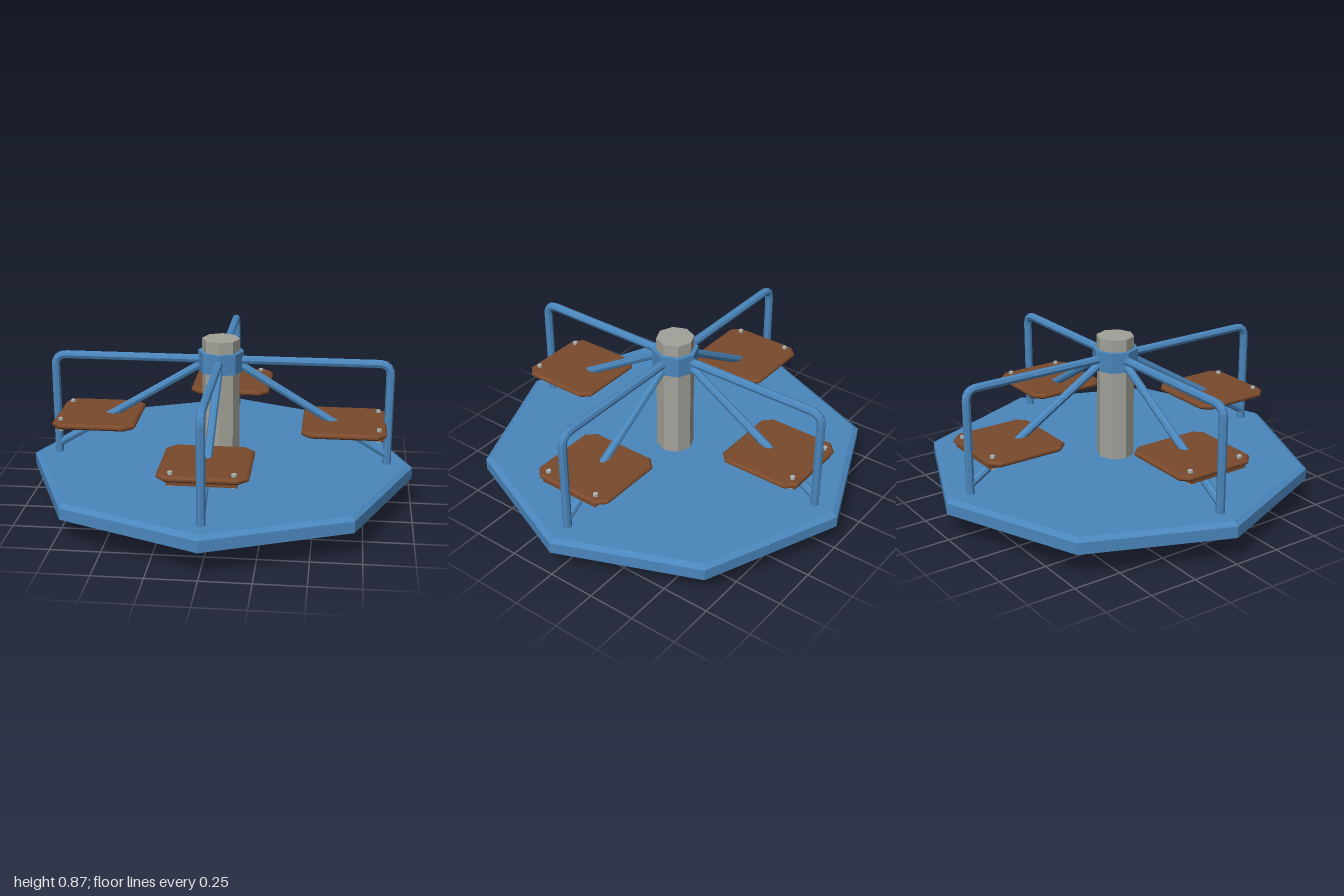
import * as THREE from 'three';

const blue = new THREE.MeshStandardMaterial({ color: 0x4a86bc });
const brown = new THREE.MeshStandardMaterial({ color: 0x7a4a2c });
const grey = new THREE.MeshStandardMaterial({ color: 0xa2a29a });
const steel = new THREE.MeshStandardMaterial({ color: 0xaab4b6 });

// Faceted mesh: separate corners give each face its own normal
function add(parent, name, geometry, material) {
  const flat = geometry.index ? geometry.toNonIndexed() : geometry;
  flat.computeVertexNormals();
  const mesh = new THREE.Mesh(flat, material);
  mesh.name = name;
  parent.add(mesh);
  return mesh;
}

// Eight-sided turned solid from [radius, height] pairs, bottom to top
function octagon(points) {
  return new THREE.LatheGeometry(points.map(([r, y]) => new THREE.Vector2(r, y)), 8);
}

const v = (x, y) => new THREE.Vector3(x, y, 0);

function createSeat() {
  const seat = new THREE.Group();
  seat.name = 'seat';

  // Board with clipped corners and a small bevel
  const a = 0.437, b = 0.846, w = 0.206, c = 0.04, bevel = 0.011;
  const outline = new THREE.Shape([
    [a + c, -w], [b - c, -w], [b, -w + c], [b, w - c],
    [b - c, w], [a + c, w], [a, w - c], [a, -w + c],
  ].map(([x, y]) => new THREE.Vector2(x, y)));
  const board = new THREE.ExtrudeGeometry(outline, {
    depth: 0.01, bevelThickness: 0.01, bevelSize: bevel, bevelSegments: 1,
  });
  board.rotateX(-Math.PI / 2).translate(0, 0.427, 0);
  add(seat, 'seatBoard', board, brown);

  // Cross bar under the outer edge
  add(seat, 'seatBar', new THREE.BoxGeometry(0.045, 0.018, 0.33), brown).position.set(0.822, 0.41, 0);

  // Bolts through board and bar
  for (const side of [-1, 1]) {
    add(seat, 'bolt', new THREE.CylinderGeometry(0.013, 0.013, 0.07, 6), steel)
      .position.set(0.817, 0.425, side * 0.148);
  }
  return seat;
}

function createArm() {
  const arm = new THREE.Group();
  arm.name = 'arm';

  // Handrail: out from the hub, round the bend and down to the deck
  const rail = new THREE.CurvePath();
  rail.add(new THREE.LineCurve3(v(0.07, 0.757), v(0.805, 0.757)));
  rail.add(new THREE.QuadraticBezierCurve3(v(0.805, 0.757), v(0.866, 0.757), v(0.866, 0.697)));
  rail.add(new THREE.LineCurve3(v(0.866, 0.697), v(0.866, 0.2)));
  add(arm, 'handrail', new THREE.TubeGeometry(rail, 64, 0.022, 8), blue);

  // Diagonal brace, passing through the seat
  const brace = new THREE.LineCurve3(v(0.07, 0.749), v(0.866, 0.265));
  add(arm, 'brace', new THREE.TubeGeometry(brace, 1, 0.021, 8), blue);

  arm.add(createSeat());
  return arm;
}

export function createModel() {
  const model = new THREE.Group();
  model.name = 'merryGoRound';

  // Ground base with sloping skirt
  add(model, 'base', octagon([
    [0, 0], [0.455, 0], [0.455, 0.02], [0.25, 0.088], [0.25, 0.145], [0, 0.145],
  ]), grey);

  // Turning deck with bevelled rim
  add(model, 'deck', octagon([
    [0, 0.14], [1, 0.14], [1, 0.2], [0.972, 0.218], [0, 0.218],
  ]), blue);

  // Centre post and the collar that holds the arms
  add(model, 'post', octagon([[0, 0.2], [0.097, 0.2], [0.097, 0.868], [0, 0.868]]), grey);
  add(model, 'hub', octagon([[0, 0.7], [0.118, 0.7], [0.118, 0.805], [0, 0.805]]), blue);

  // Four arms at right angles
  for (let i = 0; i < 4; i++) {
    const arm = createArm();
    arm.rotation.y = i * Math.PI / 2;
    model.add(arm);
  }
  return model;
}
